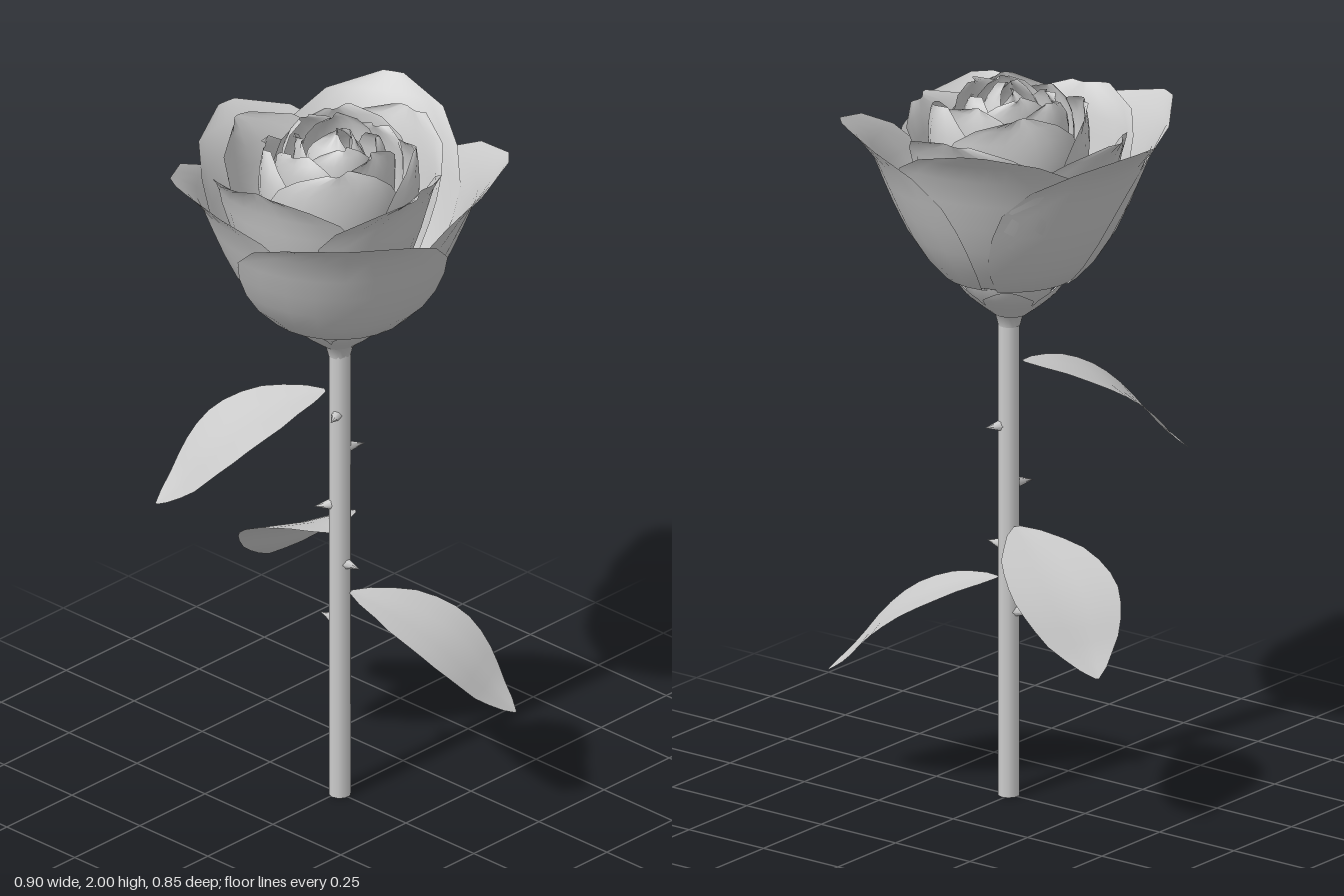
import * as THREE from 'three';

const solid = new THREE.MeshStandardMaterial({ color: 0xcccccc });
const thin = new THREE.MeshStandardMaterial({ color: 0xcccccc, side: THREE.DoubleSide });

// Smooth sheet: fn(u, v) gives a point, u in -1..1 across, v in 0..1 along
function sheet(nu, nv, fn) {
  const pos = [], idx = [];
  for (let j = 0; j <= nv; j++)
    for (let i = 0; i <= nu; i++) pos.push(...fn((2 * i) / nu - 1, j / nv));
  for (let j = 0; j < nv; j++)
    for (let i = 0; i < nu; i++) {
      const a = j * (nu + 1) + i, b = a + nu + 1;
      idx.push(a, b, a + 1, a + 1, b, b + 1);
    }
  const g = new THREE.BufferGeometry();
  g.setAttribute('position', new THREE.Float32BufferAttribute(pos, 3));
  g.setIndex(idx);
  g.computeVertexNormals();
  return g;
}

const curve = (pts) => new THREE.SplineCurve(pts.map(([x, y]) => new THREE.Vector2(x, y)));

// Evenly spaced list of values, read with linear interpolation
function sample(list, t) {
  const f = t * (list.length - 1), i = Math.min(Math.floor(f), list.length - 2);
  return THREE.MathUtils.lerp(list[i], list[i + 1], f - i);
}

// Petal wrapped around the axis: profile is (radius, height), widths scale the half angle
function petal(profile, angle, half, widths, { out = 0, lean = 0, drop = 0, wave = 0 } = {}) {
  const c = curve(profile);
  const a0 = THREE.MathUtils.degToRad(angle), h = THREE.MathUtils.degToRad(half);
  return sheet(8, 9, (u, v) => {
    const p = c.getPoint(v);
    const a = a0 + u * h * sample(widths, v);
    const r = p.x + (out + lean * u + wave * Math.sin(3 * u + angle) * v) * Math.min(1, v * 4);
    return [r * Math.cos(a), p.y - drop * v, r * Math.sin(a)];
  });
}

export function createModel() {
  const model = new THREE.Group();
  const add = (parent, name, geo, mat) => {
    const m = new THREE.Mesh(geo, mat);
    m.name = name;
    parent.add(m);
    return m;
  };
  const group = (name) => {
    const g = new THREE.Group();
    g.name = name;
    model.add(g);
    return g;
  };

  // Stem and the flaring cup under the flower
  add(model, 'stem', new THREE.CylinderGeometry(0.03, 0.03, 1.35, 10), solid).position.set(0.007, 0.675, 0);
  const cup = [[0.03, 1.32], [0.038, 1.35], [0.07, 1.38], [0.112, 1.415], [0.132, 1.46]];
  const calyx = new THREE.LatheGeometry(cup.map(([x, y]) => new THREE.Vector2(x, y)), 15);
  add(model, 'calyx', calyx, thin).position.x = 0.005;

  // Sepals
  const sepals = group('sepals');
  const sepalProfile = [[0.045, 1.355], [0.09, 1.39], [0.128, 1.425], [0.15, 1.46]];
  for (let i = 0; i < 5; i++)
    add(sepals, 'sepal', petal(sepalProfile, 20 + i * 72, 38, [1, 1, 0.85, 0.1]), thin);

  // Outer petals: large, overlapping, tips curled outward
  const outer = group('outerPetals');
  const outerProfile = [[0.05, 1.445], [0.17, 1.465], [0.26, 1.57], [0.325, 1.7], [0.378, 1.83], [0.455, 1.91]];
  const outerWidths = [0.8, 0.95, 1, 0.97, 0.84, 0.54, 0.06];
  const layers = [
    [43, 0.016, 0.035], [118, 0.006, 0], [185, -0.004, 0.01], [245, 0.004, -0.03], [316, 0, 0],
  ];
  for (const [angle, out, drop] of layers)
    add(outer, 'outerPetal', petal(outerProfile, angle, 61, outerWidths, { out, drop }), thin);

  // Inner rings: each one narrower, taller and more closed
  const innerWidths = [0.8, 0.95, 1, 1, 0.92, 0.7, 0.15];
  const rings = [
    { name: 'secondPetal', n: 4, start: 87, half: 60, lean: 0.012, shift: -0.03,
      profile: [[0.04, 1.46], [0.15, 1.5], [0.22, 1.62], [0.265, 1.75], [0.29, 1.85], [0.325, 1.92]] },
    { name: 'thirdPetal', n: 4, start: 45, half: 62, lean: 0.014, shift: 0,
      profile: [[0.04, 1.48], [0.13, 1.55], [0.19, 1.7], [0.21, 1.81], [0.208, 1.9], [0.195, 1.96]] },
    { name: 'fourthPetal', n: 4, start: 5, half: 60, lean: 0.012, shift: 0,
      profile: [[0.03, 1.5], [0.11, 1.6], [0.15, 1.75], [0.16, 1.86], [0.155, 1.93], [0.14, 1.975]] },
    { name: 'fifthPetal', n: 4, start: 40, half: 60, lean: 0.01, shift: 0,
      profile: [[0.02, 1.55], [0.08, 1.65], [0.115, 1.78], [0.125, 1.88], [0.118, 1.95], [0.1, 1.985]] },
    { name: 'heartPetal', n: 3, start: 80, half: 75, lean: 0.008, shift: 0.005,
      profile: [[0.01, 1.6], [0.055, 1.72], [0.08, 1.84], [0.078, 1.91], [0.05, 1.96], [0.015, 2.0]] },
  ];
  for (const { name, n, start, half, lean, shift, profile } of rings) {
    const ring = group(name + 's');
    ring.position.x = shift;
    for (let i = 0; i < n; i++) {
      const opts = { lean, wave: 0.01, drop: 0.015 * (i % 2) };
      add(ring, name, petal(profile, start + (i * 360) / n, half, innerWidths, opts), thin);
    }
  }

  // Leaves: sheets hanging outward in an S-curve
  const leafArch = curve([[0.035, 0], [0.15, -0.03], [0.27, -0.085], [0.36, -0.155], [0.43, -0.235], [0.495, -0.29]]);
  const leafWidths = [0.06, 0.46, 0.8, 0.98, 1, 0.9, 0.68, 0.36, 0.03];
  const leaf = sheet(6, 12, (u, v) => {
    const p = leafArch.getPoint(v), w = 0.155 * sample(leafWidths, v);
    return [p.x, p.y + 0.01 * Math.abs(u) * Math.sin(Math.PI * v), u * w];
  });
  const leaves = group('leaves');
  for (const [y, x, z] of [[1.215, -0.27, 0.4], [0.765, -0.44, -0.2], [0.61, 0.44, -0.22]]) {
    const m = add(leaves, 'leaf', leaf, thin);
    m.position.y = y;
    m.rotation.y = Math.atan2(-z, x);
  }

  // Thorns
  const thorns = group('thorns');
  const cone = new THREE.ConeGeometry(0.016, 0.05, 6).rotateZ(-Math.PI / 2).translate(0.047, 0, 0);
  for (const [y, x, z] of [[1.15, 0.4, 0.9], [1.04, 0.4, -0.9], [0.875, -0.5, 0.9], [0.7, 1, 0], [0.52, -1, 0]]) {
    const m = add(thorns, 'thorn', cone, solid);
    m.position.set(0.007, y, 0);
    m.rotation.y = Math.atan2(-z, x);
  }
  return model;
}
